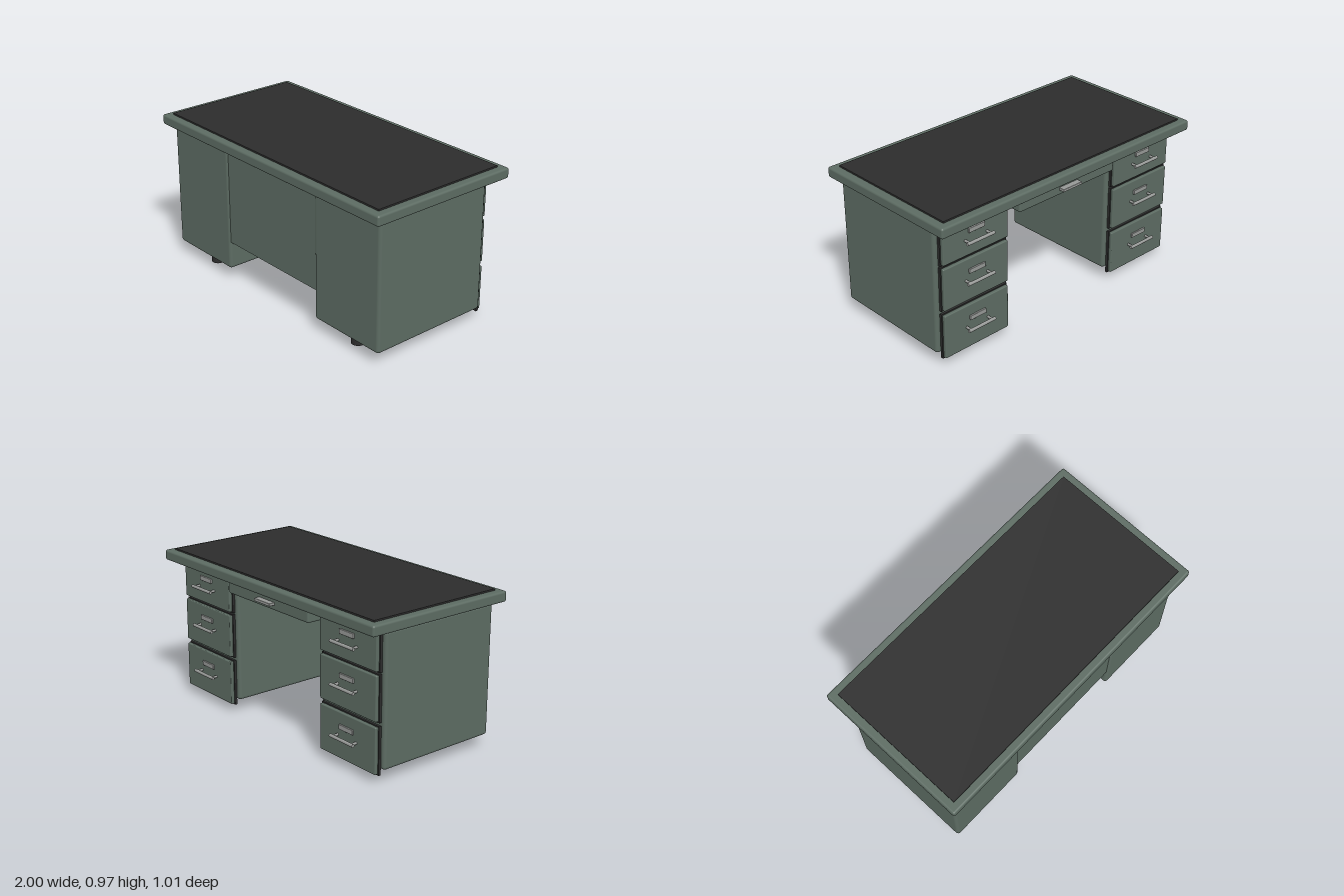
import * as THREE from 'three';
import { RoundedBoxGeometry } from 'three/addons/geometries/RoundedBoxGeometry.js';

const material = (name, color) => {
  const m = new THREE.MeshStandardMaterial({ color });
  m.name = name;
  return m;
};

export function createModel() {
  const green = material('greenSteel', 0x5c6b62);
  const dark = material('blackRubber', 0x2c2c2c);
  const metal = material('brushedMetal', 0x969896);
  const desk = new THREE.Group();
  desk.name = 'desk';

  const add = (parent, name, geometry, mat, x = 0, y = 0, z = 0) => {
    const mesh = new THREE.Mesh(geometry, mat);
    mesh.name = name;
    mesh.position.set(x, y, z);
    parent.add(mesh);
    return mesh;
  };
  // Box given by its limits; a radius rounds its edges
  const block = (parent, name, mat, [x0, x1], [y0, y1], [z0, z1], r = 0) => {
    const size = [x1 - x0, y1 - y0, z1 - z0];
    const geometry = r ? new RoundedBoxGeometry(...size, 3, r) : new THREE.BoxGeometry(...size);
    return add(parent, name, geometry, mat, (x0 + x1) / 2, (y0 + y1) / 2, (z0 + z1) / 2);
  };

  // Desktop with its writing pad
  block(desk, 'desktop', green, [-1, 1], [0.895, 0.96], [-0.505, 0.505], 0.013);
  block(desk, 'writingPad', dark, [-0.95, 0.95], [0.95, 0.97], [-0.457, 0.457]);

  // Modesty panel across the front of the knee space
  block(desk, 'modestyPanel', green, [-0.42, 0.42], [0.26, 0.875], [0.41, 0.435]);

  // Shallow drawer over the knee space
  const centre = new THREE.Group();
  centre.name = 'centreDrawer';
  desk.add(centre);
  block(centre, 'centreDrawerBox', green, [-0.385, 0.385], [0.805, 0.892], [-0.45, -0.1], 0.013);
  block(centre, 'centreDrawerPull', metal, [-0.075, 0.075], [0.838, 0.856], [-0.488, -0.448], 0.004);

  // Drawer: shadow plate, front, label holder and bar handle
  const makeDrawer = (y0, y1, handleY, labelY) => {
    const drawer = new THREE.Group();
    drawer.name = 'drawer';
    block(drawer, 'drawerPlate', dark, [-0.246, 0.246], [y0, y1], [-0.388, -0.372]);
    block(drawer, 'drawerFront', green, [-0.24, 0.24], [y0 + 0.007, y1 - 0.006], [-0.41, -0.386], 0.006);
    block(drawer, 'labelHolder', metal, [-0.06, 0.06], [labelY - 0.015, labelY + 0.015], [-0.422, -0.409], 0.004);
    const bar = add(drawer, 'handleBar', new THREE.CylinderGeometry(0.01, 0.01, 0.2, 16), metal, 0, handleY, -0.45);
    bar.rotation.z = Math.PI / 2;
    for (const x of [-0.08, 0.08]) {
      const post = add(drawer, 'handlePost', new THREE.CylinderGeometry(0.008, 0.008, 0.042, 12), metal, x, handleY, -0.43);
      post.rotation.x = Math.PI / 2;
    }
    return drawer;
  };

  // Two pedestals, each with three drawers and two feet
  for (const side of [-1, 1]) {
    const pedestal = new THREE.Group();
    pedestal.name = side > 0 ? 'leftPedestal' : 'rightPedestal';
    pedestal.position.x = side * 0.68;
    desk.add(pedestal);
    block(pedestal, 'cabinet', green, [-0.272, 0.272], [0.077, 0.89], [-0.37, 0.445], 0.02);
    pedestal.add(
      makeDrawer(0.652, 0.872, 0.76, 0.818),
      makeDrawer(0.36, 0.642, 0.502, 0.558),
      makeDrawer(0.045, 0.34, 0.193, 0.25)
    );
    for (const z of [0.347, -0.271])
      add(pedestal, 'foot', new THREE.CylinderGeometry(0.042, 0.042, 0.08, 24), dark, 0, 0.04, z);
  }
  return desk;
}
